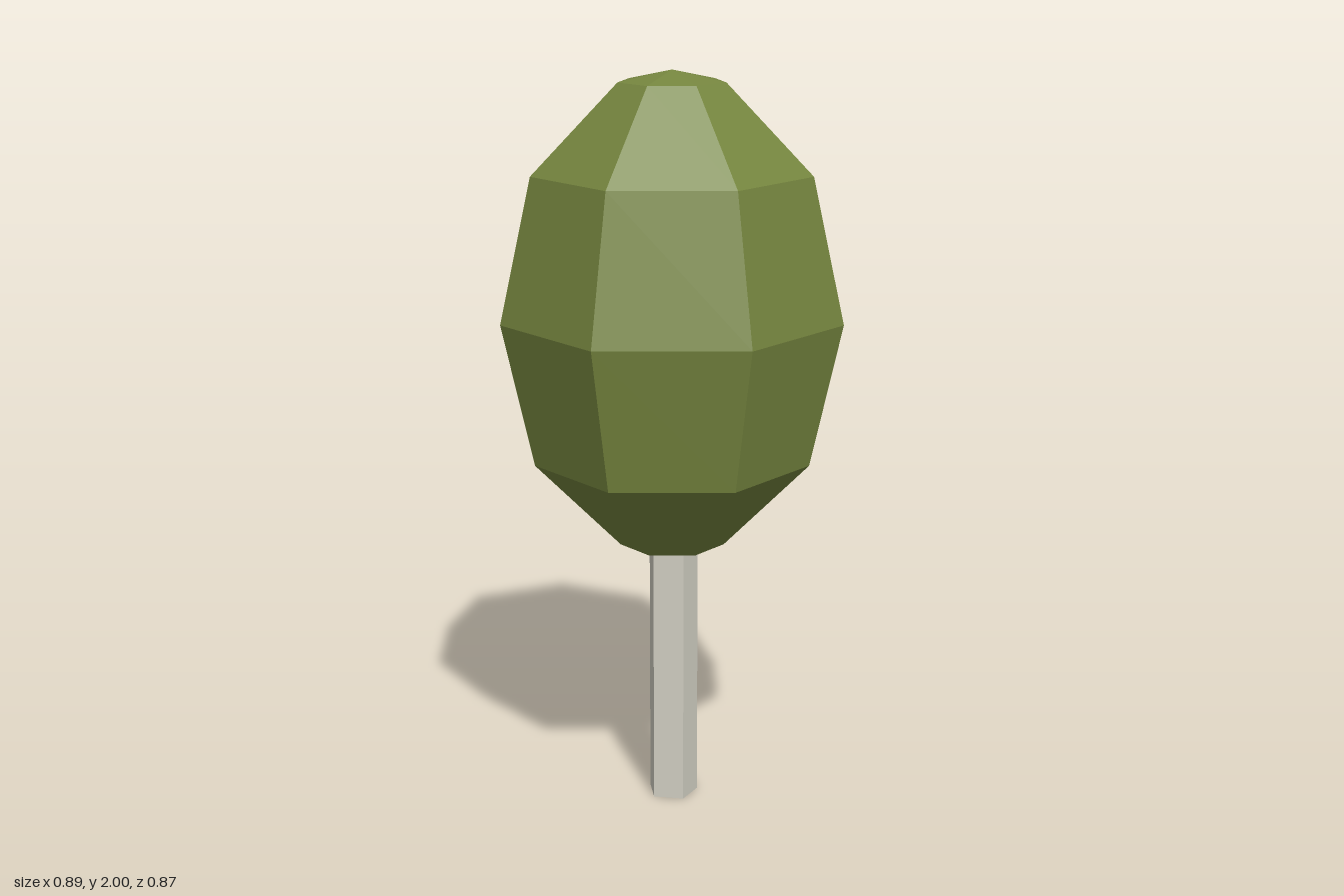
import * as THREE from 'three';

export function createModel() {
  const tree = new THREE.Group();
  tree.name = 'tree';

  const leafGreen = new THREE.MeshStandardMaterial({ color: 0x76863f, flatShading: true });
  leafGreen.name = 'leaf green';
  const barkGrey = new THREE.MeshStandardMaterial({ color: 0xd2d0c4, flatShading: true, side: THREE.DoubleSide });
  barkGrey.name = 'pale bark';

  const axisZ = -0.025;

  // Seven-sided crown, one corner facing forward
  const profile = [
    [0, 0.712], [0.143, 0.733], [0.373, 0.968], [0.458, 1.352],
    [0.373, 1.736], [0.143, 1.97], [0, 2],
  ].map(([r, y]) => new THREE.Vector2(r, y));
  const crown = new THREE.Mesh(new THREE.LatheGeometry(profile, 7), leafGreen);
  crown.name = 'crown';
  crown.position.z = axisZ;
  tree.add(crown);

  // Five-sided trunk, an open tube reaching into the crown
  const trunkHeight = 0.76;
  const trunk = new THREE.Mesh(
    new THREE.CylinderGeometry(0.07, 0.07, trunkHeight, 5, 1, true), barkGrey);
  trunk.name = 'trunk';
  trunk.position.set(0, trunkHeight / 2, axisZ);
  tree.add(trunk);

  return tree;
}
